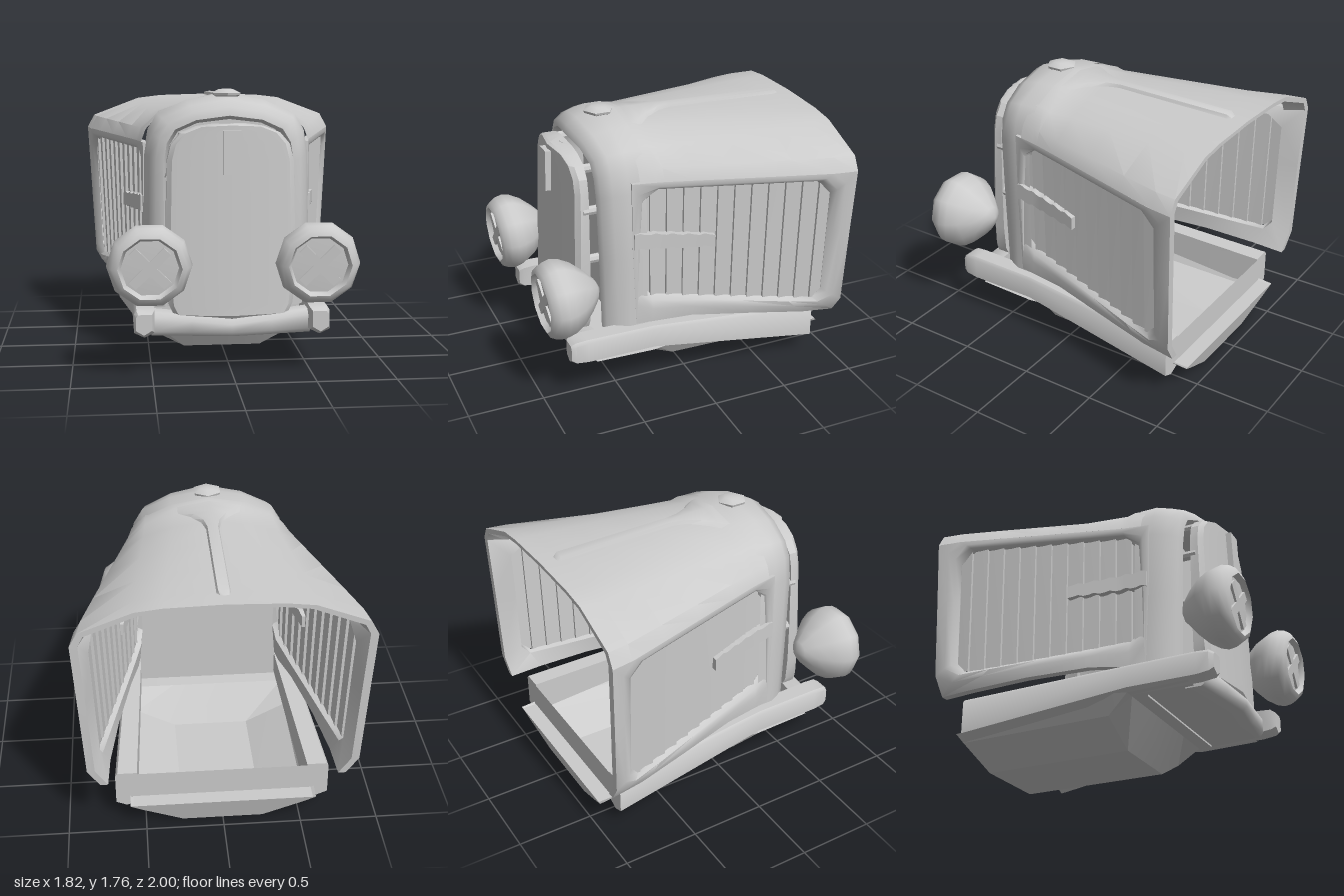
import * as THREE from 'three';
import { toCreasedNormals } from 'three/addons/utils/BufferGeometryUtils.js';

const mat = new THREE.MeshStandardMaterial({ color: 0xcccccc, side: THREE.DoubleSide });
const lerp = THREE.MathUtils.lerp;

function add(parent, name, geo, crease = 0.7) {
  const mesh = new THREE.Mesh(toCreasedNormals(geo, crease), mat);
  mesh.name = name;
  parent.add(mesh);
}

// Skin a list of cross-sections, each a list of [x, y, z] points
function loft(sections, closed = false, capStart = false, capEnd = false) {
  const n = sections[0].length, index = [];
  for (let i = 0; i < sections.length - 1; i++) {
    for (let j = 0; j < (closed ? n : n - 1); j++) {
      const a = i * n + j, b = i * n + (j + 1) % n;
      index.push(a, b, b + n, a, b + n, a + n);
    }
  }
  const last = (sections.length - 1) * n;
  for (let j = 1; j < n - 1; j++) {
    if (capStart) index.push(0, j + 1, j);
    if (capEnd) index.push(last, last + j, last + j + 1);
  }
  const geo = new THREE.BufferGeometry();
  geo.setAttribute('position', new THREE.Float32BufferAttribute(sections.flat(2), 3));
  geo.setIndex(index);
  geo.computeVertexNormals();
  return geo;
}

// Complete a half profile running from the centre outwards
const mirror = (half) => [
  ...half.slice().reverse().filter((p) => p[0] > 0).map(([x, ...r]) => [-x, ...r]), ...half];

function warp(geo, rule) {
  const p = geo.attributes.position;
  for (let i = 0; i < p.count; i++) p.setXYZ(i, ...rule(p.getX(i), p.getY(i), p.getZ(i)));
  return geo;
}

// Half width of the hood along its length
const widths = [[0.4, 0.53], [0.2, 0.57], [0, 0.63], [-0.84, 0.885], [-1, 0.91]];
function hoodWidth(z) {
  for (let i = 1; i < widths.length; i++) {
    const [z0, w0] = widths[i - 1], [z1, w1] = widths[i];
    if (z >= z1 || i === widths.length - 1) return lerp(w0, w1, (z - z0) / (z1 - z0));
  }
}
const along = (z) => (0.33 - z) / 1.33;
// Side surface leans inward toward the bottom, more so at the rear
const sideX = (y, z) => hoodWidth(z) - along(z) * ((1.43 - y) * 0.05 + Math.max(0, 0.48 - y) * 0.6);

function hoodTop(group) {
  const front = [[0, 1.705], [0.22, 1.665], [0.42, 1.59], [0.52, 1.5], [0.55, 1.42]];
  const rear = [[0, 1.665], [0.36, 1.655], [0.53, 1.635], [0.86, 1.51], [0.91, 1.42]];
  const section = (z, inset = 0, raise = 0) => {
    const t = along(z), s = (hoodWidth(z) - 0.55) / 0.36;
    return mirror(front.map(([x, y], i) => [lerp(x, rear[i][0], s) * (1 - inset),
      lerp(y, rear[i][1], t) - inset * 0.6 + (i < 3 ? raise : 0), z]));
  };
  // The front band stands slightly above the two top panels
  add(group, 'hoodTop', loft([section(0.33, 0, 0.018), section(0.23, 0, 0.018),
    ...[0.18, 0, -0.3, -0.6, -0.86, -1].map((z) => section(z)), section(-1, 0.04), section(-0.86, 0.06)]));

  // Raised centre spine that flares out into the front band
  const spine = [[-0.9, 0.03], [-0.87, 0.045], [-0.1, 0.045], [0, 0.07], [0.1, 0.14], [0.18, 0.22], [0.24, 0.28]];
  add(group, 'hoodSpine', loft(spine.map(([z, w], i) => {
    const t = along(z), h = (x) => lerp(1.705, 1.665, t) - lerp(0.19, 0.03, t) * x;
    const up = i ? 0.022 : 0;
    return mirror([[0, h(0) + up, z], [w * 0.75, h(w * 0.75) + up, z], [w, h(w) - 0.005, z]]);
  })));
}

function hoodSide() {
  const side = new THREE.Group();
  side.name = 'hoodSide';
  // Window frame: outer z, y and inner z, y around the opening
  const ring = [[0.38, 1.42, 0.3, 1.27], [0.2, 1.42, 0.22, 1.36], [0, 1.42, 0, 1.36], [-0.42, 1.42, -0.42, 1.36],
    [-0.84, 1.42, -0.76, 1.36], [-1, 1.42, -0.85, 1.27], [-0.99, 1, -0.85, 1], [-0.98, 0.48, -0.85, 0.56],
    [-0.97, 0.36, -0.79, 0.5], [-0.75, 0.38, -0.6, 0.52], [-0.4, 0.42, -0.3, 0.555], [0, 0.45, 0, 0.59],
    [0.25, 0.43, 0.25, 0.62], [0.36, 0.43, 0.34, 0.7], [0.38, 1, 0.32, 1]];
  const bead = [[0, -0.05], [0, 0], [0.5, 0.004], [0.8, -0.008], [1, -0.04], [0.92, -0.075]];
  const sections = ring.map(([oz, oy, iz, iy]) => bead.map(([t, out]) => {
    const z = lerp(oz, iz, t), y = lerp(oy, iy, t);
    return [sideX(y, z) + out, y, z];
  }));
  add(side, 'sidePanelFrame', loft([...sections, sections[0]], true), 0.9);

  // Stepped upright louvres
  const count = 12, z0 = 0.36, step = 1.24 / count, steps = [];
  for (let i = 0; i < count; i++) {
    for (const [k, inset] of [[0, 0.03], [1, 0.048]]) {
      const z = z0 - (i + k) * step;
      steps.push([0.5 + Math.max(0, z + 0.5) * 0.1, 1.38].map((y) => [sideX(y, z) - inset, y, z]));
    }
  }
  add(side, 'louvres', loft(steps), 0.2);

  // Latch bar that ripples over the louvres
  const bar = new THREE.BoxGeometry(0.06, 0.095, 0.51, 1, 1, 15);
  add(side, 'latchBar', warp(bar, (x, y, z) => {
    const Z = z + 0.115;
    return [hoodWidth(Z) - 0.03 + z * 0.06 + x, 1.01 + y * (1 + z * 0.5) + z * 0.07 + 0.007 * Math.sin(Z * 61), Z];
  }));
  return side;
}

function radiator(group) {
  const outer = [[0, 1.73], [0.25, 1.685], [0.44, 1.6], [0.5, 1.5], [0.525, 1.35], [0.535, 0.9], [0.54, 0.38]];
  const inner = [[0, 1.58], [0.2, 1.555], [0.32, 1.5], [0.37, 1.42], [0.39, 1.3], [0.39, 0.9], [0.38, 0.38]];
  const arch = outer.map(([ox, oy], i) => {
    const [ix, iy] = inner[i];
    const zf = 0.55 + 0.03 * (oy - 0.4) / 1.3 + 0.04 * Math.max(0, 1 - ox / 0.44);
    return [[0, 0.28], [0, 0.4], [0.2, zf - 0.08], [0.5, zf - 0.015], [0.85, zf], [1, zf - 0.03], [1, 0.36]]
      .map(([t, z]) => [lerp(ox, ix, t), lerp(oy, iy, t), z]);
  });
  const left = arch.slice(1).reverse().map((s) => s.map(([x, y, z]) => [-x, y, z]));
  add(group, 'radiatorShell', loft([...left, ...arch]), 1.1);

  // Full-width bulkhead closing the front of the engine bay
  const core = new THREE.Shape(mirror([...outer, [0.52, 0.25]])
    .map(([x, y]) => new THREE.Vector2(x * 0.98, y - 0.02)));
  add(group, 'radiatorCore', new THREE.ShapeGeometry(core).translate(0, 0, 0.36));

  // Six-sided filler cap
  const cap = [[0, 1.69], [0.06, 1.7], [0.095, 1.72], [0.1, 1.735], [0.05, 1.757], [0, 1.76]];
  add(group, 'fillerCap', new THREE.LatheGeometry(cap.map((p) => new THREE.Vector2(...p)), 6)
    .translate(0, 0, 0.39), 0.7);
}

function grille(group) {
  // V-fronted slab stacked from rows of [y, half width]
  const rows = [[0.34, 0.3], [0.37, 0.36], [0.43, 0.39], [0.6, 0.405], [0.9, 0.405], [1.33, 0.395],
    [1.43, 0.37], [1.5, 0.31], [1.54, 0.21], [1.555, 0.1]];
  const slab = rows.map(([y, w], i) => {
    const lean = (1.56 - y) * 0.04, edge = i === 0 || i === rows.length - 1 ? 0.02 : 0;
    const front = (x) => 0.74 + lean - edge - 0.15 * x, rise = 0.05 * (y > 1.3 ? 1 : 0);
    const at = (x, z) => [x, y + rise * (w - Math.abs(x)), z];
    const rim = w - 0.03;
    return [at(-w, 0.61 + lean * 0.3), at(-w, front(w) - 0.025), at(-rim, front(rim)), at(0, front(0)),
      at(rim, front(rim)), at(w, front(w) - 0.025), at(w, 0.61 + lean * 0.3), at(0, 0.66 + lean * 0.3)];
  });
  add(group, 'grille', loft(slab, true, true, true), 0.45);
  add(group, 'grillePlate', new THREE.BoxGeometry(0.11, 0.27, 0.045).rotateX(-0.04).translate(0, 1.385, 0.755));
  for (const s of [-1, 1]) {
    for (const [x, y] of [[0.29, 1.47], [0.375, 1.22], [0.375, 0.88]]) {
      add(group, 'grilleStay', new THREE.CylinderGeometry(0.03, 0.03, 0.16, 8)
        .rotateX(Math.PI / 2).translate(s * x, y, 0.57));
    }
  }
}

function headlight() {
  const lamp = new THREE.Group();
  lamp.name = 'headlight';
  const bucket = [[0, -0.305], [0.07, -0.275], [0.14, -0.215], [0.21, -0.14], [0.25, -0.07], [0.262, -0.02],
    [0.252, 0.03], [0.228, 0.07], [0.195, 0.085], [0.175, 0.05], [0, 0.06]];
  add(lamp, 'lampBody', new THREE.LatheGeometry(bucket.map((p) => new THREE.Vector2(...p)), 10, Math.PI / 2)
    .rotateX(Math.PI / 2), 0.85);
  for (const a of [-1, 1]) {
    add(lamp, 'lensCross', new THREE.BoxGeometry(0.3, 0.06, 0.02).rotateZ(a * Math.PI / 4).translate(0, 0, 0.06));
  }
  lamp.position.set(0.515, 0.72, 0.905);
  lamp.rotation.x = 0.06;
  return lamp;
}

function rail() {
  // Chassis rail sections: z, inner x, outer x, bottom y, top y
  const cuts = [[0.83, 0.5, 0.6, 0.27, 0.4], [0.8, 0.485, 0.61, 0.25, 0.42], [0.72, 0.485, 0.61, 0.24, 0.425],
    [0.26, 0.49, 0.61, 0.24, 0.42], [-0.87, 0.55, 0.69, 0.1, 0.36]];
  return loft(cuts.map(([z, a, b, lo, hi]) => [[a, lo + 0.03, z], [a, hi, z], [b - 0.015, hi, z],
    [b, hi - 0.02, z], [b, lo + 0.03, z], [(a + b) / 2, lo, z]]), true, true, true);
}

function chassis(group) {
  // Swept crossbar between the rail tips
  add(group, 'crossbar', loft([-0.5, -0.25, 0, 0.25, 0.5].map((x) => {
    const z = 0.81 - Math.abs(x) * 0.14, top = 0.35 + Math.abs(x) * 0.08;
    return [[x, 0.24, z - 0.14], [x, 0.24, z - 0.03], [x, 0.27, z], [x, top - 0.03, z], [x, top, z - 0.03], [x, top, z - 0.14]];
  }), true, true, true), 0.9);
  // Open-topped belly pan with a closed rear
  const pan = [[0.66, 0.25, 0.25, 0.25], [0.26, 0.24, 0.24, 0.24], [0.1, 0, 0.14, 0.26], [-0.92, 0, 0.13, 0.17]];
  add(group, 'bellyPan', loft(pan.map(([z, y0, y1, y2], i) => {
    const back = i === 3 ? 0.3 : 0;
    return mirror([[0.26, y0, z], [0.53, y1, z - back * y1], [0.6, y2, z - back * y2]]);
  }), false, false, true), 0.3);
  // Rear plate rising from the pan lip to the rail tops
  add(group, 'rearPlate', loft([-0.58, 0.58].map((x) => [[x, 0.17, -0.97], [x, 0.17, -0.87], [x, 0.35, -0.87]])), 0.3);
}

export function createModel() {
  const group = new THREE.Group();
  group.name = 'vehicleFront';
  hoodTop(group);
  radiator(group);
  grille(group);
  chassis(group);
  for (const s of [1, -1]) {
    const half = new THREE.Group();
    half.name = s > 0 ? 'leftSide' : 'rightSide';
    half.add(hoodSide(), headlight());
    add(half, 'chassisRail', rail());
    half.scale.x = s;
    group.add(half);
  }
  return group;
}
